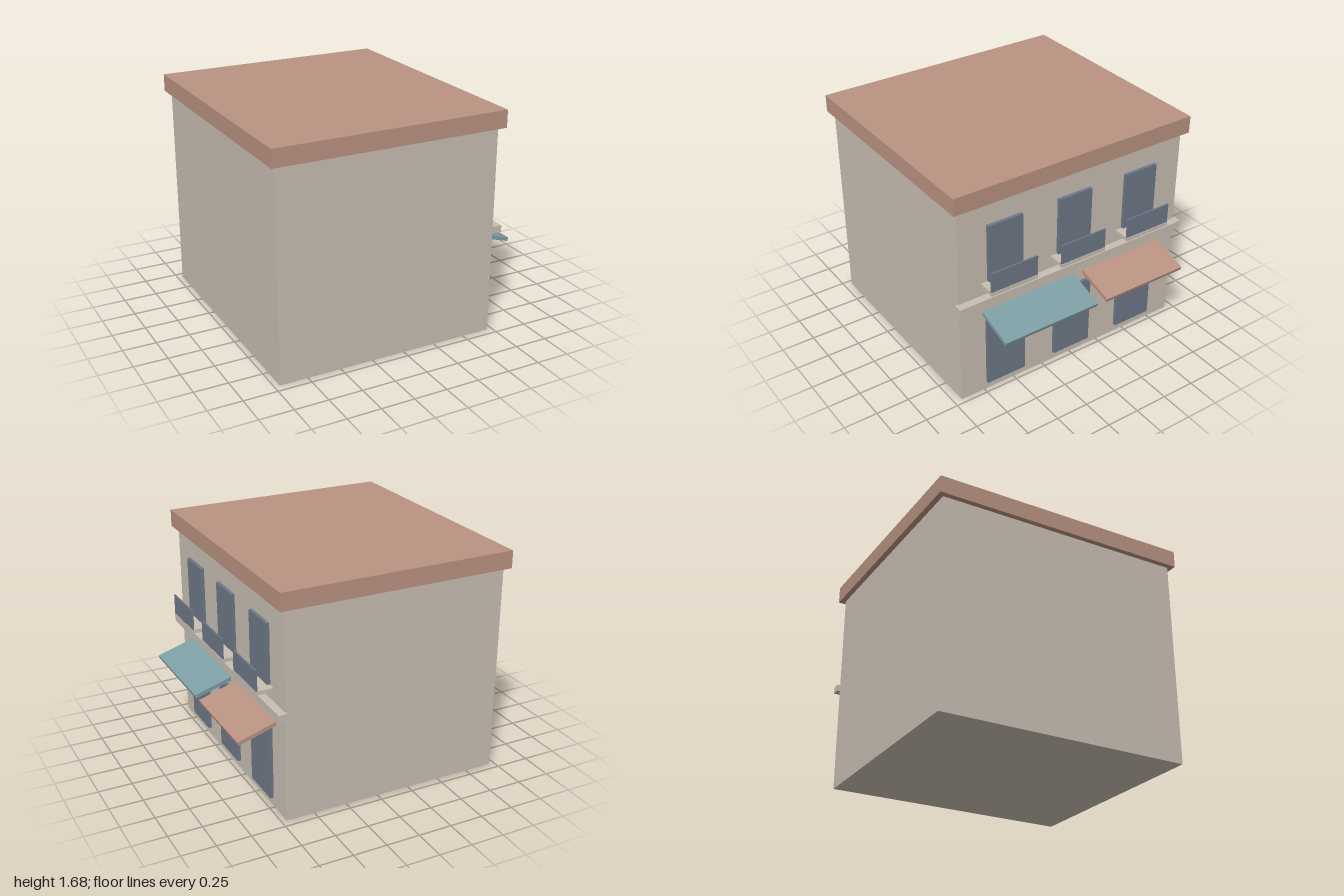
import * as THREE from 'three';

const material = (name, color) => {
  const m = new THREE.MeshStandardMaterial({ color });
  m.name = name;
  return m;
};

export function createModel() {
  const plaster = material('beige plaster', 0xc9bfb3);
  const terracotta = material('terracotta', 0xba9382);
  const glass = material('slate glass', 0x6d7887);
  const teal = material('teal canvas', 0x7d9fa4);

  const model = new THREE.Group();
  model.name = 'townhouse';

  // Box given by its [min, max] range along each axis
  const box = (name, mat, [x0, x1], [y0, y1], [z0, z1], parent = model) => {
    const mesh = new THREE.Mesh(new THREE.BoxGeometry(x1 - x0, y1 - y0, z1 - z0), mat);
    mesh.position.set((x0 + x1) / 2, (y0 + y1) / 2, (z0 + z1) / 2);
    mesh.name = name;
    parent.add(mesh);
    return mesh;
  };

  // Main volume, overhanging roof slab and the ledge between the storeys
  box('walls', plaster, [-0.96, 0.712], [0, 1.556], [-0.94, 0.94]);
  box('roof', terracotta, [-1, 0.755], [1.556, 1.685], [-0.98, 0.98]);
  box('ledge', plaster, [0.704, 0.77], [0.777, 0.828], [-0.963, 0.963]);

  // Three identical bays: ground opening, upper window and balcony
  [0.574, 0, -0.574].forEach((z, i) => {
    const bay = new THREE.Group();
    bay.name = `bay${i + 1}`;
    model.add(bay);
    const span = (w) => [z - w / 2, z + w / 2];
    box('groundWindow', glass, [0.7, 0.737], [0.065, 0.614], span(0.315), bay);
    box('upperWindow', glass, [0.7, 0.737], [0.935, 1.377], span(0.277), bay);
    box('balconySlab', plaster, [0.7, 0.843], [0.901, 0.929], span(0.375), bay);
    box('balconyRailing', glass, [0.828, 0.84], [0.929, 1.08], span(0.375), bay);
  });

  // Sloping awnings over the ground floor
  const awning = (name, mat, zRange) => {
    const mesh = box(name, mat, [0.7, 1], [0.622, 0.65], zRange);
    mesh.rotation.z = -0.3;
    mesh.position.x = 0.849;
  };
  awning('tealAwning', teal, [-0.022, 0.754]);
  awning('terracottaAwning', terracotta, [-0.796, -0.102]);

  return model;
}
